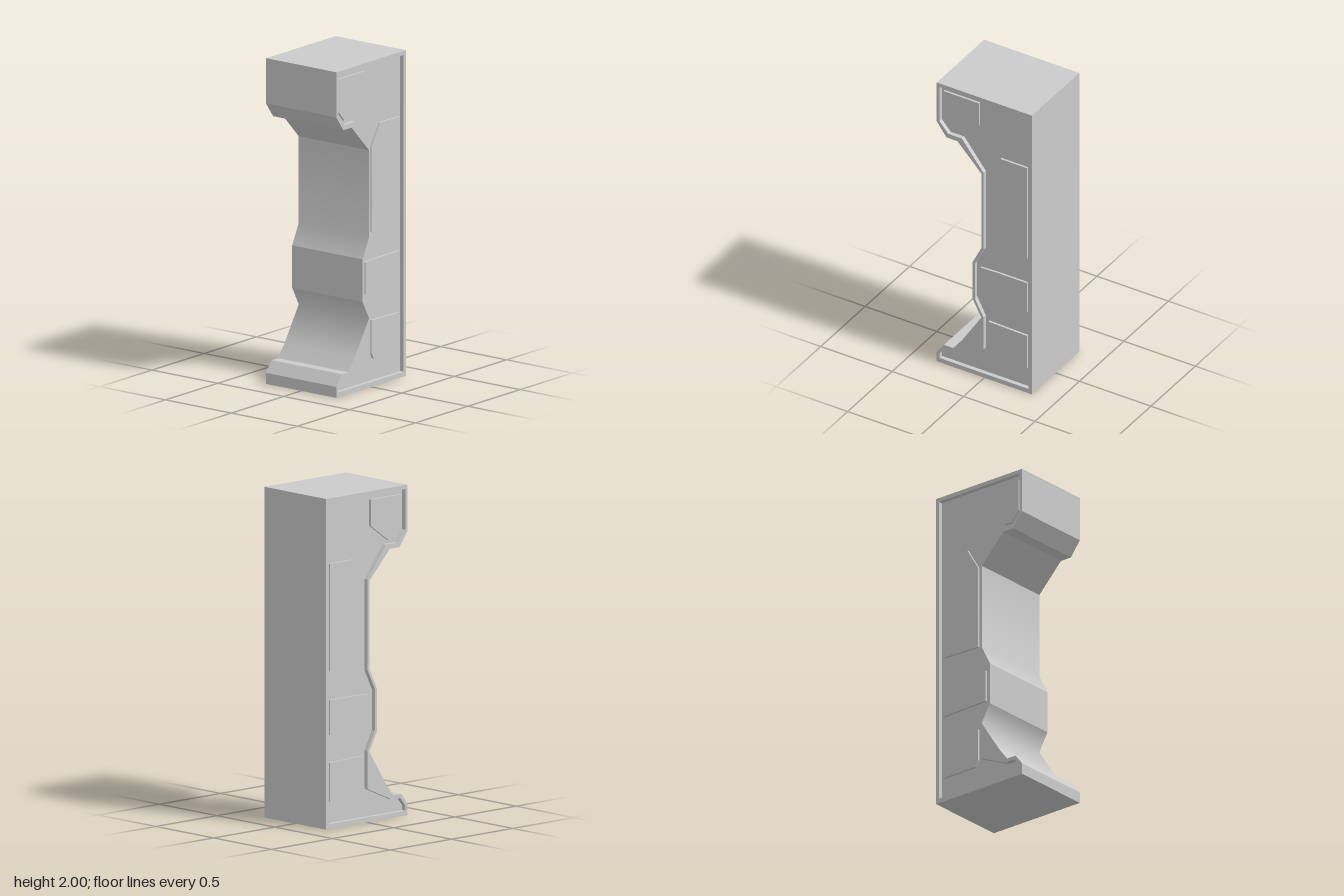
import * as THREE from 'three';

const HALF_WIDTH = 0.267;
const RECESS = 0.027; // depth of the sunken side field
const RAISE = 0.014; // height of the panels above that field

// All profiles are [z, y] points.
const outline = [
  [-0.333, 0], [0.333, 0], [0.333, 0.068], [0.282, 0.135], [0.217, 0.135], [0.155, 0.215],
  [0.02, 0.425], [0.082, 0.538], [0.082, 0.8], [0.02, 0.925], [0.02, 1.457],
  [0.187, 1.63], [0.265, 1.63], [0.333, 1.722], [0.333, 2], [-0.333, 2],
];
const field = [
  [-0.311, 0.03], [0.314, 0.03], [0.314, 0.06], [0.272, 0.112], [0.204, 0.112], [0.006, 0.2],
  [0.006, 0.432], [0.066, 0.546], [0.066, 0.796], [0.006, 0.918], [0.006, 1.468],
  [0.156, 1.66], [0.252, 1.66], [0.314, 1.73], [0.314, 1.975], [-0.311, 1.975],
];
const panels = {
  headPanel: [[0.295, 1.945], [0.295, 1.745], [0.24, 1.682], [0.188, 1.682], [0.045, 1.785], [0.045, 1.945]],
  shaftPanel: [[-0.29, 0.95], [-0.02, 0.943], [-0.02, 1.462], [-0.103, 1.6], [-0.29, 1.6]],
  bandPanel: [[-0.29, 0.565], [0.038, 0.572], [0.038, 0.77], [-0.08, 0.775], [-0.29, 0.775]],
  footPanel: [[-0.29, 0.162], [-0.042, 0.162], [-0.02, 0.2], [-0.02, 0.403], [-0.29, 0.396]],
};
// Corners of the outline that are shaded as soft bends.
const softCorners = [[0.155, 0.215], [0.02, 0.425], [0.02, 0.925]];

const toPoints = (list) => list.map(([z, y]) => new THREE.Vector2(z, y));

// Extrudes a side profile along x, centred on x = 0.
function extrudeProfile(profile, width, hole) {
  const shape = new THREE.Shape(toPoints(profile));
  if (hole) shape.holes.push(new THREE.Path(toPoints(hole)));
  const geometry = new THREE.ExtrudeGeometry(shape, { depth: width, bevelEnabled: false });
  geometry.translate(0, 0, -width / 2);
  geometry.rotateY(-Math.PI / 2);
  return geometry;
}

// Averages the wall normals along the soft corners.
function softenCorners(geometry) {
  const pos = geometry.attributes.position;
  const nor = geometry.attributes.normal;
  for (const [z, y] of softCorners) {
    const sum = new THREE.Vector3();
    const found = [];
    for (let i = 0; i < pos.count; i++) {
      const atCorner = Math.hypot(pos.getZ(i) - z, pos.getY(i) - y) < 1e-4;
      if (!atCorner || Math.abs(nor.getX(i)) > 0.5) continue;
      found.push(i);
      sum.add(new THREE.Vector3().fromBufferAttribute(nor, i));
    }
    sum.normalize();
    found.forEach((i) => nor.setXYZ(i, sum.x, sum.y, sum.z));
  }
  return geometry;
}

export function createModel() {
  const group = new THREE.Group();
  group.name = 'bracket';
  const material = new THREE.MeshStandardMaterial({ color: 0xcccccc });
  const add = (name, geometry, x = 0) => {
    const mesh = new THREE.Mesh(geometry, material);
    mesh.name = name;
    mesh.position.x = x;
    group.add(mesh);
  };

  // Outer shell with a raised rim on both sides, filled by the sunken core
  add('rimmedBody', softenCorners(extrudeProfile(outline, HALF_WIDTH * 2, field)));
  add('sideField', extrudeProfile(field, (HALF_WIDTH - RECESS) * 2));

  // Raised panels on both sides, seated halfway into the core
  for (const [name, profile] of Object.entries(panels)) {
    for (const [label, sign] of [['left', 1], ['right', -1]]) {
      const slab = extrudeProfile(profile, RAISE * 2);
      add(`${name}_${label}`, slab, sign * (HALF_WIDTH - RECESS));
    }
  }
  return group;
}
